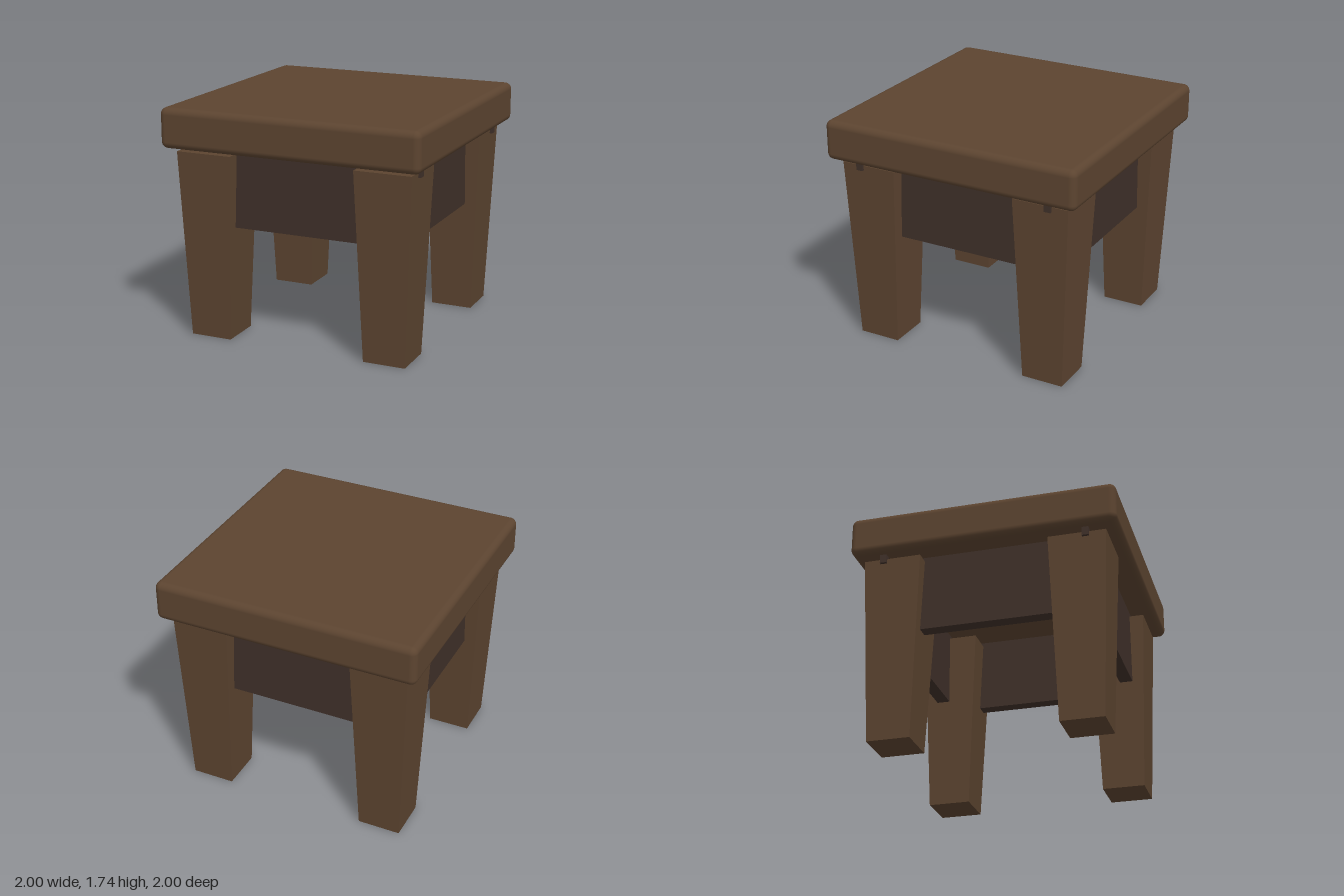
import * as THREE from 'three';
import { RoundedBoxGeometry } from 'three/addons/geometries/RoundedBoxGeometry.js';

const wood = new THREE.MeshStandardMaterial({ color: 0x5c4430 });
const darkWood = new THREE.MeshStandardMaterial({ color: 0x3f3029 });

// Square post, wider at the top than at the foot
function taperedLeg(topSize, footSize, height) {
  const geometry = new THREE.BoxGeometry(1, height, 1);
  geometry.translate(0, height / 2, 0);
  const p = geometry.attributes.position;
  for (let i = 0; i < p.count; i++) {
    const s = THREE.MathUtils.lerp(footSize, topSize, p.getY(i) / height);
    p.setXYZ(i, p.getX(i) * s, p.getY(i), p.getZ(i) * s);
  }
  geometry.computeVertexNormals();
  return geometry;
}

export function createModel() {
  const model = new THREE.Group();
  model.name = 'sideTable';

  function add(name, geometry, material, x, y, z) {
    const mesh = new THREE.Mesh(geometry, material);
    mesh.name = name;
    mesh.position.set(x, y, z);
    model.add(mesh);
    return mesh;
  }

  // Thick top with softened edges
  add('tableTop', new RoundedBoxGeometry(2, 0.3, 2, 5, 0.05), wood, 0, 1.59, 0);

  // Four legs, each with a small peg under the top beside it
  const legGeometry = taperedLeg(0.43, 0.32, 1.41);
  const pegGeometry = new THREE.BoxGeometry(0.05, 0.08, 0.05);
  for (const [x, side] of [[-1, 'Right'], [1, 'Left']]) {
    for (const [z, end] of [[-1, 'back'], [1, 'front']]) {
      add(`${end}${side}Leg`, legGeometry, wood, x * 0.695, 0, z * 0.695);
      add(`${end}${side}Peg`, pegGeometry, darkWood, x * 0.905, 1.415, z * 0.76);
    }
  }

  // Deep aprons joining the legs on all four sides
  const apronGeometry = new THREE.BoxGeometry(1.55, 0.59, 0.1);
  ['front', 'left', 'back', 'right'].forEach((side, i) => {
    const angle = i * Math.PI / 2;
    const apron = add(`${side}Apron`, apronGeometry, darkWood,
      Math.sin(angle) * 0.75, 1.15, Math.cos(angle) * 0.75);
    apron.rotation.y = angle;
  });

  return model;
}
